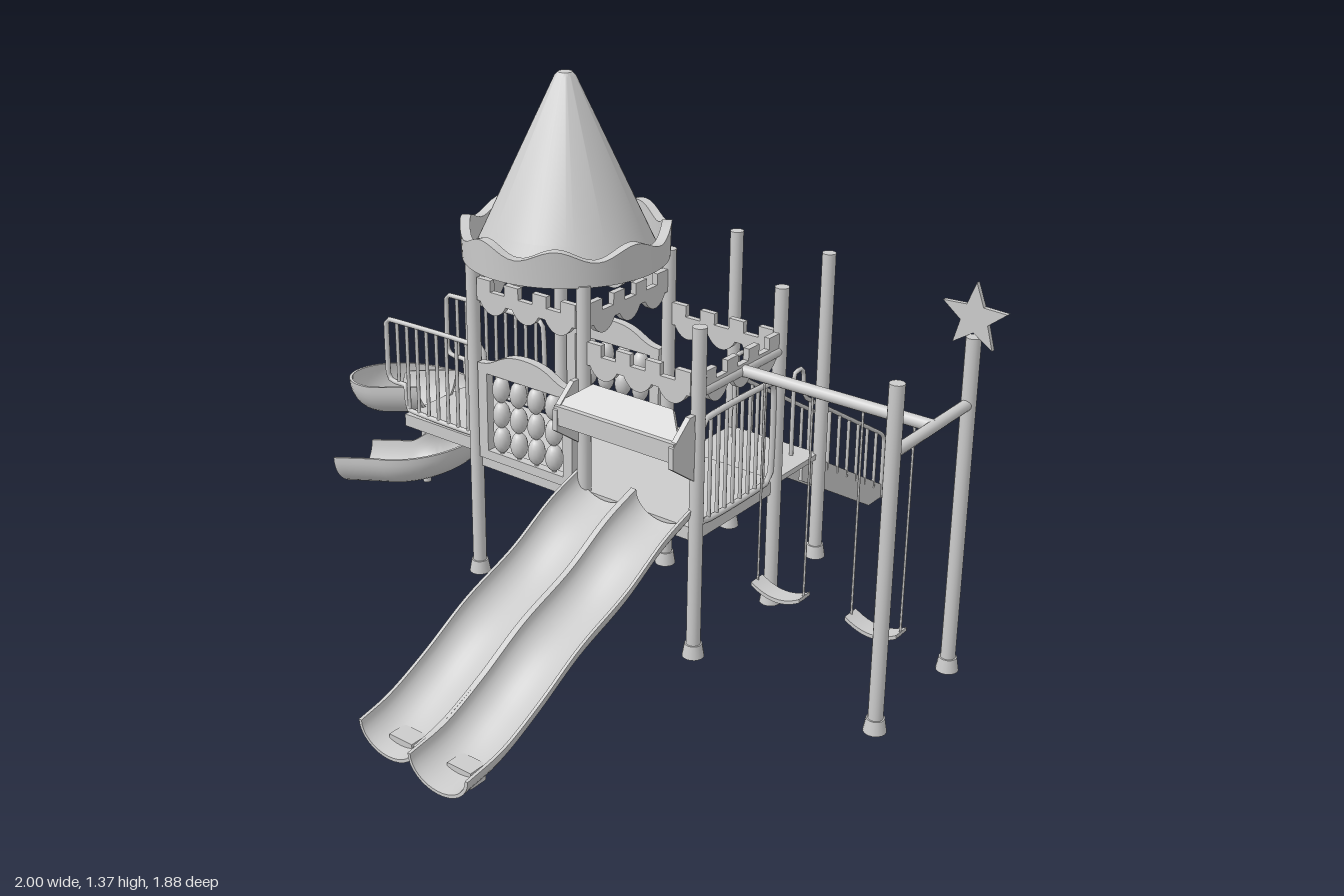
import * as THREE from 'three';
import { toCreasedNormals } from 'three/addons/utils/BufferGeometryUtils.js';

const mat = new THREE.MeshStandardMaterial({ color: 0xcccccc, side: THREE.DoubleSide });
const V = (x, y, z) => new THREE.Vector3(x, y, z);

export function createModel() {
  const model = new THREE.Group();
  const add = (name, geo, x = 0, y = 0, z = 0, parent = model) => {
    const m = new THREE.Mesh(geo, mat);
    m.name = name;
    m.position.set(x, y, z);
    parent.add(m);
    return m;
  };
  const group = (name) => {
    const g = new THREE.Group();
    g.name = name;
    model.add(g);
    return g;
  };
  // box given by its limits
  const box = (name, x0, x1, y0, y1, z0, z1, parent) =>
    add(name, new THREE.BoxGeometry(x1 - x0, y1 - y0, z1 - z0), (x0 + x1) / 2, (y0 + y1) / 2, (z0 + z1) / 2, parent);
  // round bar between two points
  const bar = (name, a, b, r, parent, sides = 10) => {
    const m = add(name, new THREE.CylinderGeometry(r, r, a.distanceTo(b), sides), 0, 0, 0, parent);
    m.position.lerpVectors(a, b, 0.5);
    m.quaternion.setFromUnitVectors(V(0, 1, 0), b.clone().sub(a).normalize());
    return m;
  };
  // bent pipe with tight corners
  const pipe = (name, pts, r, parent, closed = false) => {
    const path = new THREE.CatmullRomCurve3(pts, closed, 'catmullrom', 0.1);
    return add(name, new THREE.TubeGeometry(path, pts.length * 8, r, 8, closed), 0, 0, 0, parent);
  };
  const extrude = (shape, depth) => new THREE.ExtrudeGeometry(shape, { depth, bevelEnabled: false, curveSegments: 16 });
  // flat plate with a (z, y) outline, from x to x + t
  const sidePlate = (name, pts, x, t, parent) => {
    const s = new THREE.Shape(pts.map(([z, y]) => new THREE.Vector2(-z, y)));
    return add(name, extrude(s, t).rotateY(Math.PI / 2), x, 0, 0, parent);
  };

  // posts with flared feet
  const post = (x, z, top) => {
    const g = group('post');
    bar('postShaft', V(x, 0.015, z), V(x, top, z), 0.018, g, 16);
    add('postFoot', new THREE.CylinderGeometry(0.022, 0.028, 0.035, 16), x, 0.0325, z, g);
  };
  for (const x of [-0.305, 0.055]) for (const z of [-0.22, 0.125]) post(x, z, 0.91);
  for (const [x, z] of [[0.395, -0.22], [0.395, 0.12], [0.065, -0.505], [0.35, -0.505], [0.915, -0.215], [0.915, 0.125]])
    post(x, z, 0.885);

  // decks
  box('towerDeck', -0.305, 0.055, 0.33, 0.365, -0.22, 0.125);
  box('slideDeck', 0.055, 0.395, 0.33, 0.365, -0.22, 0.125);
  box('backDeck', 0.065, 0.35, 0.308, 0.323, -0.5, -0.22);
  box('bridgeDeck', -0.62, -0.305, 0.33, 0.365, -0.17, 0.07);

  // roof cone and its wavy crown
  add('roofCone', toCreasedNormals(new THREE.LatheGeometry(
    [[0, 1.372], [0.018, 1.37], [0.027, 1.36], [0.2, 0.99], [0.235, 0.915]].map(p => new THREE.Vector2(...p)), 64), 0.6),
    -0.135, 0, -0.04);
  const crown = new THREE.LatheGeometry(
    [[0.24, 0.905], [0.262, 0.905], [0.265, 0.982], [0.24, 0.982], [0.24, 0.905]].map(p => new THREE.Vector2(...p)), 96);
  const cp = crown.attributes.position;
  for (let i = 0; i < cp.count; i++)
    if (cp.getY(i) > 0.95) cp.setY(i, 0.982 + 0.015 * Math.sin(8 * Math.atan2(cp.getZ(i), cp.getX(i))));
  add('roofCrown', toCreasedNormals(crown, 0.6), -0.135, 0, -0.04);

  // battlement bands: merlons above, scallops below
  const battlement = (x, y, z, length, turn) => {
    const s = new THREE.Shape(), h = length / 2, step = length / 7;
    s.moveTo(-h, 0.03);
    for (let i = 0; i < 3; i++) {
      const a = -h + (i + 0.1) * length / 3, w = 0.8 * length / 3;
      s.lineTo(a, 0.03);
      s.bezierCurveTo(a + w * 0.25, -0.01, a + w * 0.75, -0.01, a + w, 0.03);
    }
    s.lineTo(h, 0.03);
    for (let i = 0; i < 7; i++) {
      const y1 = i % 2 ? 0.06 : 0.09;
      s.lineTo(h - i * step, y1);
      s.lineTo(h - (i + 1) * step, y1);
    }
    s.closePath();
    add('battlement', extrude(s, 0.016).translate(0, 0, -0.008), x, y, z).rotation.y = turn;
  };
  for (const z of [-0.22, 0.125]) {
    battlement(-0.125, 0.765, z, 0.32, 0);
    battlement(0.225, 0.68, z, 0.31, 0);
  }
  for (const x of [-0.305, 0.055]) battlement(x, 0.77, -0.048, 0.31, Math.PI / 2);
  battlement(0.395, 0.68, -0.05, 0.31, Math.PI / 2);

  // arched bead panels on the tower's front and back
  for (const z of [-0.225, 0.13]) {
    const g = group('beadPanel');
    const s = new THREE.Shape();
    s.moveTo(-0.155, 0.365);
    s.lineTo(0.155, 0.365);
    s.lineTo(0.155, 0.63);
    s.bezierCurveTo(0.09, 0.63, 0.09, 0.672, 0, 0.672);
    s.bezierCurveTo(-0.09, 0.672, -0.09, 0.63, -0.155, 0.63);
    s.closePath();
    s.holes.push(new THREE.Path([[-0.125, 0.39], [-0.125, 0.605], [0.125, 0.605], [0.125, 0.39]].map(p => new THREE.Vector2(...p))));
    add('panelFrame', extrude(s, 0.024).translate(0, 0, -0.012), -0.125, 0, z, g);
    for (let i = 0; i < 4; i++) {
      const x = -0.125 + (i - 1.5) * 0.058;
      bar('beadRod', V(x, 0.385, z), V(x, 0.61, z), 0.006, g);
      for (let j = 0; j < 3; j++)
        add('bead', new THREE.SphereGeometry(1, 14, 10).scale(0.023, 0.036, 0.023), x, 0.428 + j * 0.07, z, g);
    }
  }

  // bridge railings, stepping up over the slide entry
  for (const z of [-0.17, 0.067]) {
    const g = group('bridgeRail');
    pipe('railFrame', [[-0.33, 0.38], [-0.33, 0.63], [-0.665, 0.63], [-0.68, 0.615], [-0.68, 0.465], [-0.665, 0.45], [-0.615, 0.45], [-0.605, 0.38]]
      .map(([x, y]) => V(x, y, z)), 0.007, g, true);
    for (let i = 0; i < 9; i++) {
      const x = -0.64 + i * 0.036;
      bar('baluster', V(x, x < -0.61 ? 0.45 : 0.38, z), V(x, 0.63, z), 0.005, g, 8);
    }
  }
  // deck railing towards the swings
  const deckRail = group('deckRail');
  pipe('railFrame', [[0.1, 0.375], [0.1, 0.64], [-0.195, 0.64], [-0.195, 0.375]].map(([z, y]) => V(0.395, y, z)), 0.008, deckRail, true);
  for (let i = 1; i < 9; i++) {
    const z = 0.1 - i * 0.0328;
    bar('baluster', V(0.395, 0.375, z), V(0.395, 0.64, z), 0.005, deckRail, 8);
  }

  // half-pipe chute with wall thickness, swept along the line of its underside
  const chute = (name, pts, hw, depth) => {
    const n = 16, ring = [], pos = [], idx = [];
    for (let k = 0; k < 2; k++) for (let i = 0; i <= n; i++) {
      const a = Math.PI * (1 + (k ? 1 - i / n : i / n)), t = k * 0.008;
      ring.push([(hw - t) * Math.cos(a), depth + (depth - t) * Math.sin(a)]);
    }
    const m = ring.length;
    pts.forEach((p, i) => {
      const d = pts[Math.min(i + 1, pts.length - 1)].clone().sub(pts[Math.max(i - 1, 0)]);
      const side = V(d.z, 0, -d.x).normalize();
      for (const [u, v] of ring) pos.push(p.x + side.x * u, p.y + v, p.z + side.z * u);
      if (i) for (let j = 0; j < m; j++) {
        const a = (i - 1) * m + j, b = (i - 1) * m + (j + 1) % m;
        idx.push(a, b, a + m, b, b + m, a + m);
      }
    });
    const last = (pts.length - 1) * m;
    for (let j = 0; j < n; j++) {
      const [a, b, c, d] = [j, j + 1, m - 2 - j, m - 1 - j];
      idx.push(a, c, b, a, d, c, last + a, last + b, last + c, last + a, last + c, last + d);
    }
    const geo = new THREE.BufferGeometry();
    geo.setAttribute('position', new THREE.Float32BufferAttribute(pos, 3));
    geo.setIndex(idx);
    return add(name, toCreasedNormals(geo, 0.7));
  };

  // twin wave slides
  for (const [x, end] of [[0.125, 0.91], [0.303, 0.937]]) {
    const line = new THREE.CatmullRomCurve3([[0.13, 0.35], [0.24, 0.31], [0.38, 0.235], [0.55, 0.17], [0.7, 0.09], [0.82, 0.038], [end, 0.018]]
      .map(([z, y]) => V(x, y, z)));
    chute('waveSlide', line.getPoints(40), 0.089, 0.07);
    box('slideFoot', x - 0.035, x + 0.035, 0.008, 0.05, 0.82, 0.87);
  }

  // hood over the slide entry
  const hood = group('slideHood');
  for (const x of [0.038, 0.387])
    sidePlate('hoodCheek', [[0.14, 0.67], [0.16, 0.67], [0.225, 0.615], [0.225, 0.56], [0.14, 0.5]], x, 0.014, hood);
  const slope = new THREE.Shape([[0.04, 0], [0.4, 0], [0.4, 0.02], [0.345, 0.09], [0.105, 0.09], [0.04, 0.02]].map(p => new THREE.Vector2(...p)));
  const roof = add('hoodRoof', extrude(slope, 0.014), 0, 0.605, 0.21, hood);
  roof.rotation.x = -0.85;
  box('hoodFascia', 0.04, 0.4, 0.575, 0.625, 0.205, 0.222, hood);
  box('hoodBack', 0.04, 0.4, 0.575, 0.625, 0.135, 0.15, hood);

  // spiral slide: straight entry, one full turn, straight exit
  const cx = -0.79, cz = -0.18, R = 0.13, path = [];
  for (let i = 0; i <= 6; i++) path.push(V(-0.61 - i * 0.03, 0, cz + R));
  for (let i = 1; i <= 48; i++) {
    const a = i / 48 * Math.PI * 2;
    path.push(V(cx - R * Math.sin(a), 0, cz + R * Math.cos(a)));
  }
  for (let i = 1; i <= 6; i++) path.push(V(cx - i * 0.028, 0, cz + R));
  let run = 0;
  const runs = path.map((p, i) => (run += i ? p.distanceTo(path[i - 1]) : 0));
  path.forEach((p, i) => { p.y = 0.335 - 0.315 * runs[i] / run; });
  chute('spiralSlide', path, 0.082, 0.098);
  bar('spiralPole', V(cx, 0.015, cz), V(cx, 0.32, cz), 0.012);
  for (const i of [18, 30, 42]) bar('spiralBracket', V(cx, path[i].y + 0.02, cz), path[i], 0.006);

  // stairs with stringers, steps and handrails
  const stairs = group('stairs');
  for (const x of [0.11, 0.292])
    sidePlate('stringer', [[-0.5, 0.31], [-0.94, 0.045], [-0.94, 0.005], [-0.87, 0.005], [-0.5, 0.225]], x, 0.01, stairs);
  for (let i = 0; i < 9; i++) {
    const z = -0.5 - i * 0.048, y = 0.285 - i * 0.031;
    box('tread', 0.115, 0.297, y - 0.008, y, z - 0.05, z, stairs);
    box('riser', 0.115, 0.297, y, y + 0.031, z - 0.005, z, stairs);
  }
  for (const x of [0.113, 0.299]) {
    pipe('handrail', [[-0.445, 0.32], [-0.445, 0.55], [-0.455, 0.56], [-0.48, 0.56], [-0.49, 0.545], [-0.51, 0.465], [-0.92, 0.215], [-0.94, 0.185], [-0.94, 0.004]]
      .map(([z, y]) => V(x, y, z)), 0.006, stairs);
    for (let i = 0; i < 8; i++) {
      const z = -0.53 - i * 0.052, drop = (z + 0.5) * 0.6;
      bar('baluster', V(x, 0.29 + drop, z), V(x, 0.47 + drop, z), 0.005, stairs, 8);
    }
  }

  // swing frame, hangers and sagging seats
  const swing = group('swings'), sz = -0.055;
  bar('swingBeam', V(0.395, 0.72, sz), V(0.915, 0.72, sz), 0.015, swing, 16);
  for (const x of [0.395, 0.915]) bar('crossBeam', V(x, 0.72, -0.215), V(x, 0.72, 0.123), 0.014, swing, 16);
  for (const x of [0.53, 0.8]) {
    for (const s of [-1, 1]) bar('hanger', V(x + s * 0.067, 0.165, sz), V(x + s * 0.067, 0.72, sz), 0.003, swing, 6);
    const seat = new THREE.BoxGeometry(0.14, 0.01, 0.05, 12, 1, 1), p = seat.attributes.position;
    for (let i = 0; i < p.count; i++) p.setY(i, p.getY(i) + 0.022 * (p.getX(i) / 0.07) ** 2);
    add('swingSeat', toCreasedNormals(seat, 0.5), x, 0.15, sz, swing);
  }

  // star on the rear swing post
  const star = new THREE.Shape(Array.from({ length: 10 }, (_, i) => {
    const a = Math.PI / 2 + i * Math.PI / 5, r = i % 2 ? 0.036 : 0.085;
    return new THREE.Vector2(r * Math.cos(a), r * Math.sin(a));
  }));
  add('star', extrude(star, 0.012), 0.915, 0.932, -0.221);
  return model;
}
